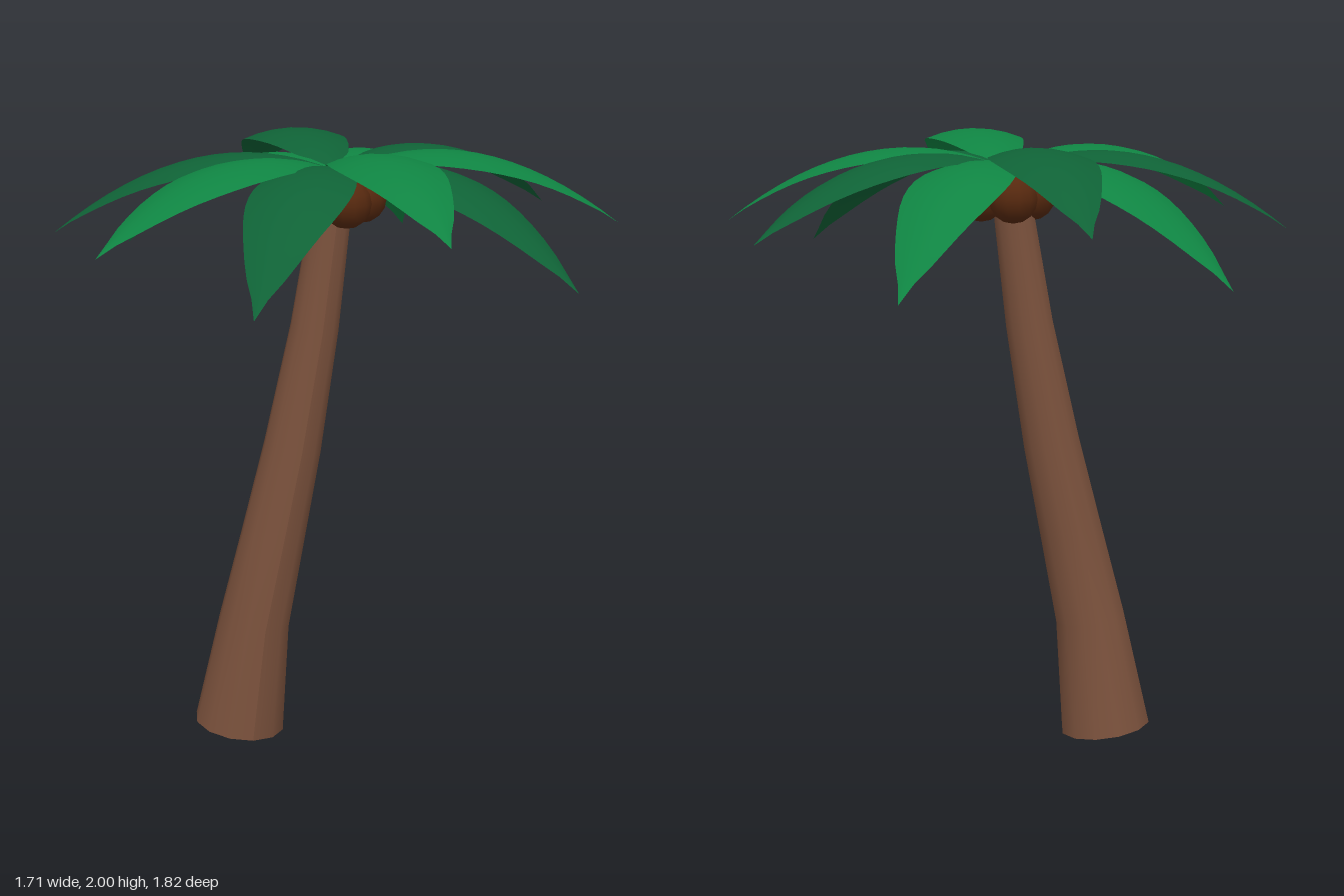
import * as THREE from 'three';

const mat = (name, color, side = THREE.FrontSide) => {
  const m = new THREE.MeshStandardMaterial({ color, side });
  m.name = name;
  return m;
};

// Leaning trunk: a cylinder whose rings follow a spine [x, y, z, radius]
function makeTrunk(material) {
  const spine = [
    [-0.325, 0.022, -0.085, 0.15], [-0.277, 0.4, -0.055, 0.117],
    [-0.213, 0.7, -0.038, 0.105], [-0.148, 1.0, -0.026, 0.094],
    [-0.075, 1.4, -0.01, 0.078], [-0.026, 1.75, 0, 0.066], [-0.015, 1.88, 0, 0.062],
  ];
  const rows = spine.length - 1;
  const geo = new THREE.CylinderGeometry(1, 1, 1, 12, rows);
  const p = geo.attributes.position;
  for (let i = 0; i < p.count; i++) {
    const [x, y, z, r] = spine[Math.round((p.getY(i) + 0.5) * rows)];
    const dx = p.getX(i) * r, dz = p.getZ(i) * r;
    p.setXYZ(i, x + dx, y - 0.13 * dx - 0.06 * dz, z + dz);
  }
  geo.computeVertexNormals();
  const mesh = new THREE.Mesh(geo, material);
  mesh.name = 'trunk';
  return mesh;
}

// Arched leaf along +z, pointed at the tip, with edges drooping from the midrib
function makeFrond(length, crest, tipY) {
  const geo = new THREE.PlaneGeometry(1, 1, 6, 16);
  const p = geo.attributes.position;
  const arch = new THREE.QuadraticBezierCurve(
    new THREE.Vector2(0, 1.9), new THREE.Vector2(length * 0.49, crest), new THREE.Vector2(length, tipY));
  const halfWidth = new THREE.SplineCurve([
    [0, 0.015], [0.1, 0.085], [0.2, 0.13], [0.34, 0.155], [0.5, 0.147],
    [0.66, 0.112], [0.82, 0.064], [1, 0],
  ].map(([a, b]) => new THREE.Vector2(a, b)));
  for (let i = 0; i < p.count; i++) {
    const t = 0.5 - p.getY(i), side = p.getX(i) * 2;
    const at = arch.getPoint(t), w = Math.max(0, halfWidth.getPoint(t).y);
    p.setXYZ(i, side * w, at.y - 0.2 * w * side * side, at.x);
  }
  // Corner order faces upward once the plane's +y runs back to the crown
  geo.computeVertexNormals();
  return geo;
}

export function createModel() {
  const group = new THREE.Group();
  group.name = 'palmTree';
  const bark = mat('bark brown', 0x7a513c);
  const nut = mat('coconut brown', 0x57290f);
  const greens = [
    mat('bright leaf green', 0x0f8442, THREE.DoubleSide),
    mat('dark leaf green', 0x0f6236, THREE.DoubleSide),
  ];

  group.add(makeTrunk(bark));

  // Coconuts clustered under the crown
  const nutGeo = new THREE.SphereGeometry(0.08, 12, 8);
  for (let i = 0; i < 4; i++) {
    const a = i * Math.PI / 2;
    const coconut = new THREE.Mesh(nutGeo, nut);
    coconut.name = 'coconut';
    coconut.position.set(Math.sin(a) * 0.083, 1.812, Math.cos(a) * 0.083);
    group.add(coconut);
  }

  // Ten fronds in alternating greens: [length, crest height, tip height]
  const front = [0.91, 2.14, 1.82], back = [0.91, 2.125, 1.775];
  const frontLow = [0.864, 2.07, 1.61], backLow = [0.864, 2.06, 1.58];
  const frontSide = [0.9, 2.09, 1.73], backSide = [0.9, 2.08, 1.71];
  const ring = [front, frontLow, frontSide, backSide, backLow,
    back, backLow, backSide, frontSide, frontLow];
  ring.forEach((shape, i) => {
    const frond = new THREE.Mesh(makeFrond(...shape), greens[i % 2]);
    frond.name = 'frond';
    frond.rotation.y = i * Math.PI / 5;
    group.add(frond);
  });
  return group;
}
